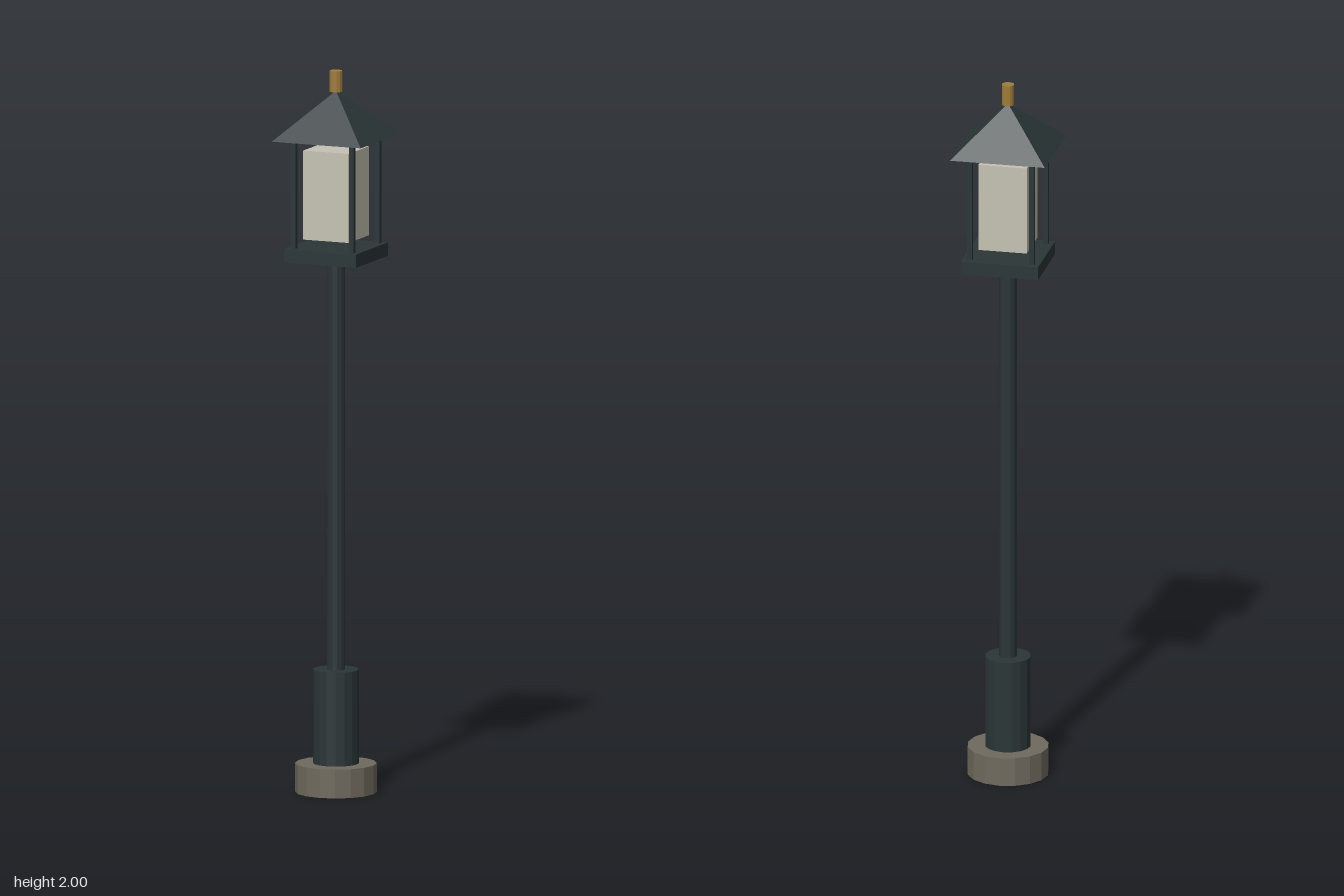
import * as THREE from 'three';

const material = (name, color) => {
  const m = new THREE.MeshStandardMaterial({ color, flatShading: true });
  m.name = name;
  return m;
};

export function createModel() {
  const model = new THREE.Group();
  model.name = 'lampPost';

  const stone = material('stone', 0x6f6a5e);
  const iron = material('dark iron', 0x2b3637);
  const glass = material('pale glass', 0xc6c3b4);
  const brass = material('brass', 0xa07c3c);

  const add = (name, geometry, mat, x, y, z) => {
    const mesh = new THREE.Mesh(geometry, mat);
    mesh.name = name;
    mesh.position.set(x, y, z);
    model.add(mesh);
    return mesh;
  };
  // Upright cylinder between two heights
  const column = (name, radius, y0, y1, sides, mat) =>
    add(name, new THREE.CylinderGeometry(radius, radius, y1 - y0, sides), mat, 0, (y0 + y1) / 2, 0);
  // Square block between two heights
  const block = (name, width, y0, y1, mat, x = 0, z = 0) =>
    add(name, new THREE.BoxGeometry(width, y1 - y0, width), mat, x, (y0 + y1) / 2, z);

  // Foot and shaft
  column('base', 0.112, 0, 0.08, 16, stone);
  column('collar', 0.063, 0.08, 0.34, 16, iron);
  column('pole', 0.025, 0.34, 1.477, 12, iron);

  // Lantern
  block('lanternFloor', 0.216, 1.477, 1.514, iron);
  block('lanternGlass', 0.136, 1.537, 1.784, glass);
  for (const x of [-1, 1])
    for (const z of [-1, 1])
      block('cornerPost', 0.014, 1.514, 1.814, iron, x * 0.087, z * 0.087);

  // Four-sided roof, turned so its eaves run along x and z
  const roof = new THREE.ConeGeometry(0.133 * Math.SQRT2, 0.13, 4);
  roof.rotateY(Math.PI / 4);
  add('roof', roof, iron, 0, 1.879, 0);

  // Finial
  column('finial', 0.0175, 1.942, 2, 12, brass);

  return model;
}
